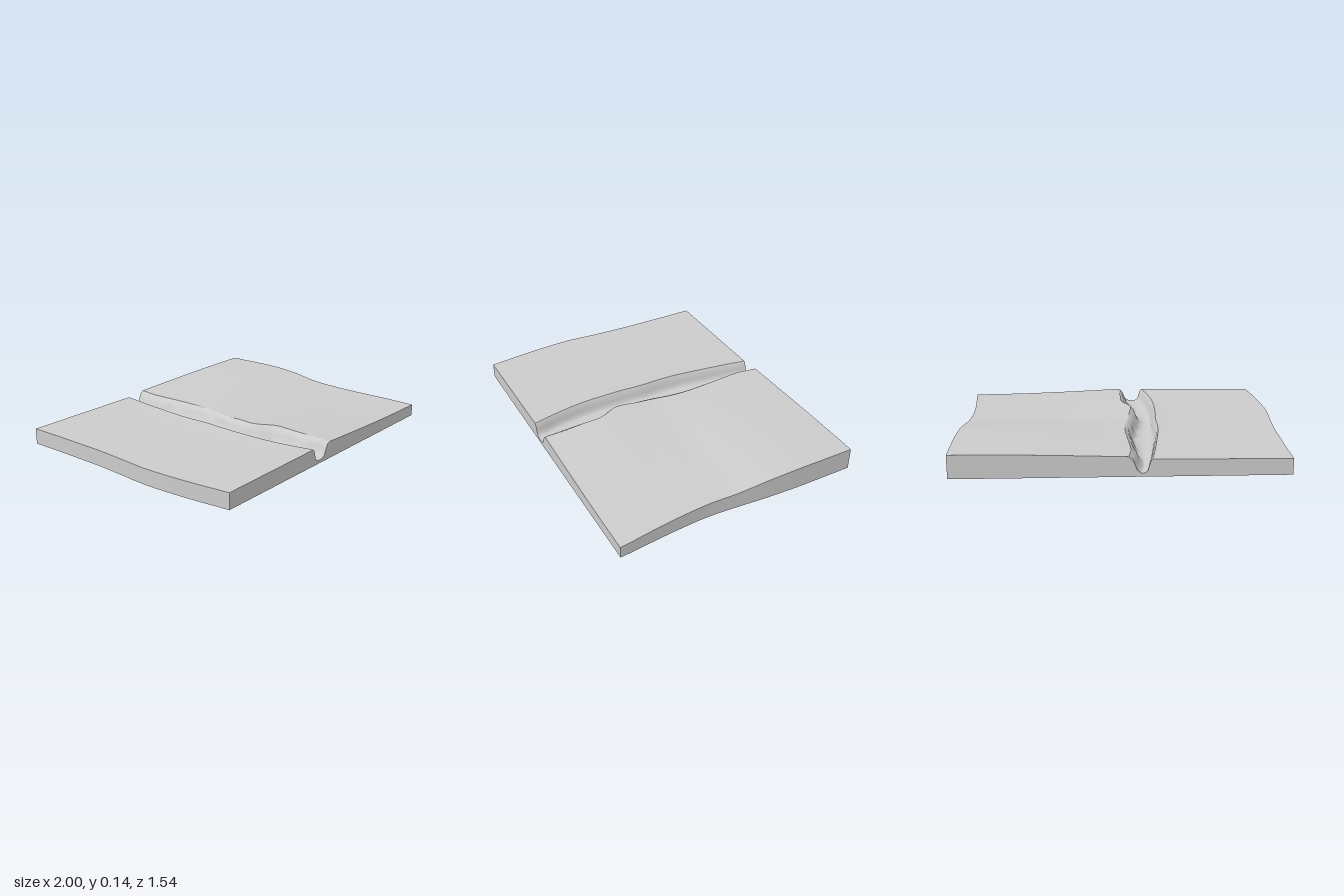
import * as THREE from 'three';

const DEPTH = 0.77, ROWS = 96;
const material = new THREE.MeshStandardMaterial({ color: 0xcccccc, side: THREE.DoubleSide });

// Smooth curve through evenly spaced values, back edge (t = 0) to front edge (t = 1)
function profile(...values) {
  const curve = new THREE.SplineCurve(values.map((v, i) => new THREE.Vector2(i, v)));
  return t => curve.getPoint(t).y;
}

// Outer edges
const leftEdge = profile(-0.965, -0.965, -0.968, -0.972, -0.985, -1, -0.995, -0.98, -0.96);
const rightEdge = profile(0.99, 0.99, 0.988, 0.98, 0.965, 0.955, 0.963, 0.98, 0.998);
// Lips of the ditch
const leftLip = profile(-0.165, -0.185, -0.203, -0.22, -0.235, -0.24, -0.238, -0.247, -0.25, -0.25, -0.24, -0.22, -0.195);
const rightLip = profile(-0.03, -0.047, -0.042, -0.035, -0.03, -0.037, -0.06, -0.075, -0.088, -0.035, -0.032, -0.026, -0.02);
// Ground heights along the right bank and the outer right edge
const bankHeight = profile(0.12, 0.12, 0.118, 0.115, 0.112, 0.119, 0.122, 0.115, 0.106);
const outerHeight = profile(0.142, 0.143, 0.142, 0.13, 0.105, 0.098, 0.092, 0.085, 0.075);

// Surface from rows of points
function loft(rows) {
  const n = rows[0].length, index = [];
  for (let i = 0; i < rows.length - 1; i++) {
    for (let j = 0; j < n - 1; j++) {
      const a = i * n + j, c = a + n;
      index.push(a, c, a + 1, a + 1, c, c + 1);
    }
  }
  const geometry = new THREE.BufferGeometry();
  geometry.setAttribute('position', new THREE.Float32BufferAttribute(rows.flat(2), 3));
  geometry.setIndex(index);
  geometry.computeVertexNormals();
  return geometry;
}

const lerp = THREE.MathUtils.lerp;
const span = (n, f) => Array.from({ length: n + 1 }, (_, i) => f(i / n));
const zAt = t => lerp(-DEPTH, DEPTH, t);

// Nearly level field with a slight lip at the ditch
function leftField(t) {
  return span(24, u => [
    lerp(leftEdge(t), leftLip(t), u),
    0.098 + 0.006 * u + 0.006 * Math.pow(u, 10) * Math.sin(Math.PI * t),
    zAt(t),
  ]);
}

// Field that rises towards the back and falls towards the front
function rightField(t) {
  return span(28, u => [
    lerp(rightLip(t), rightEdge(t), u),
    lerp(bankHeight(t), outerHeight(t), Math.sin(u * Math.PI / 2)),
    zAt(t),
  ]);
}

// Ditch cross-section: steep left wall, flat bed, sloping right wall
function ditch(t) {
  const l = leftField(t).at(-1), r = rightField(t)[0], z = zAt(t);
  const wobble = 0.004 * Math.sin(t * 41) + 0.003 * Math.sin(t * 67 + 1);
  const inner = [
    [l[0] + 0.012, 0.092], [l[0] + 0.022, 0.06], [l[0] + 0.028, 0.035],
    [l[0] + 0.045, 0.022], [lerp(l[0], r[0], 0.45), 0.02],
    [r[0] - 0.07 + wobble, 0.024], [r[0] - 0.05 + wobble, 0.04],
    [r[0] - 0.036 + wobble, 0.075], [r[0] - 0.022, 0.1],
  ];
  return [l, ...inner.map(([x, y]) => [x, y, z]), r];
}

export function createModel() {
  const group = new THREE.Group();
  const add = (name, rows) => {
    const mesh = new THREE.Mesh(loft(rows), material);
    mesh.name = name;
    group.add(mesh);
  };
  const ground = p => [p[0], 0, p[2]];
  const section = t => [...leftField(t), ...ditch(t).slice(1, -1), ...rightField(t)];

  // Upper surfaces
  add('leftField', span(ROWS, leftField));
  add('ditch', span(ROWS, ditch));
  add('rightField', span(ROWS, rightField));

  // Cut faces around the slab
  const front = section(1), back = section(0);
  const left = span(ROWS, t => leftField(t)[0]);
  const right = span(ROWS, t => rightField(t).at(-1));
  add('frontWall', [front, front.map(ground)]);
  add('backWall', [back.map(ground), back]);
  add('leftWall', [right.map(ground), right]);
  add('rightWall', [left, left.map(ground)]);

  // Flat underside
  add('underside', span(ROWS, t => [leftEdge(1 - t), rightEdge(1 - t)].map(x => [x, 0, zAt(1 - t)])));
  return group;
}
